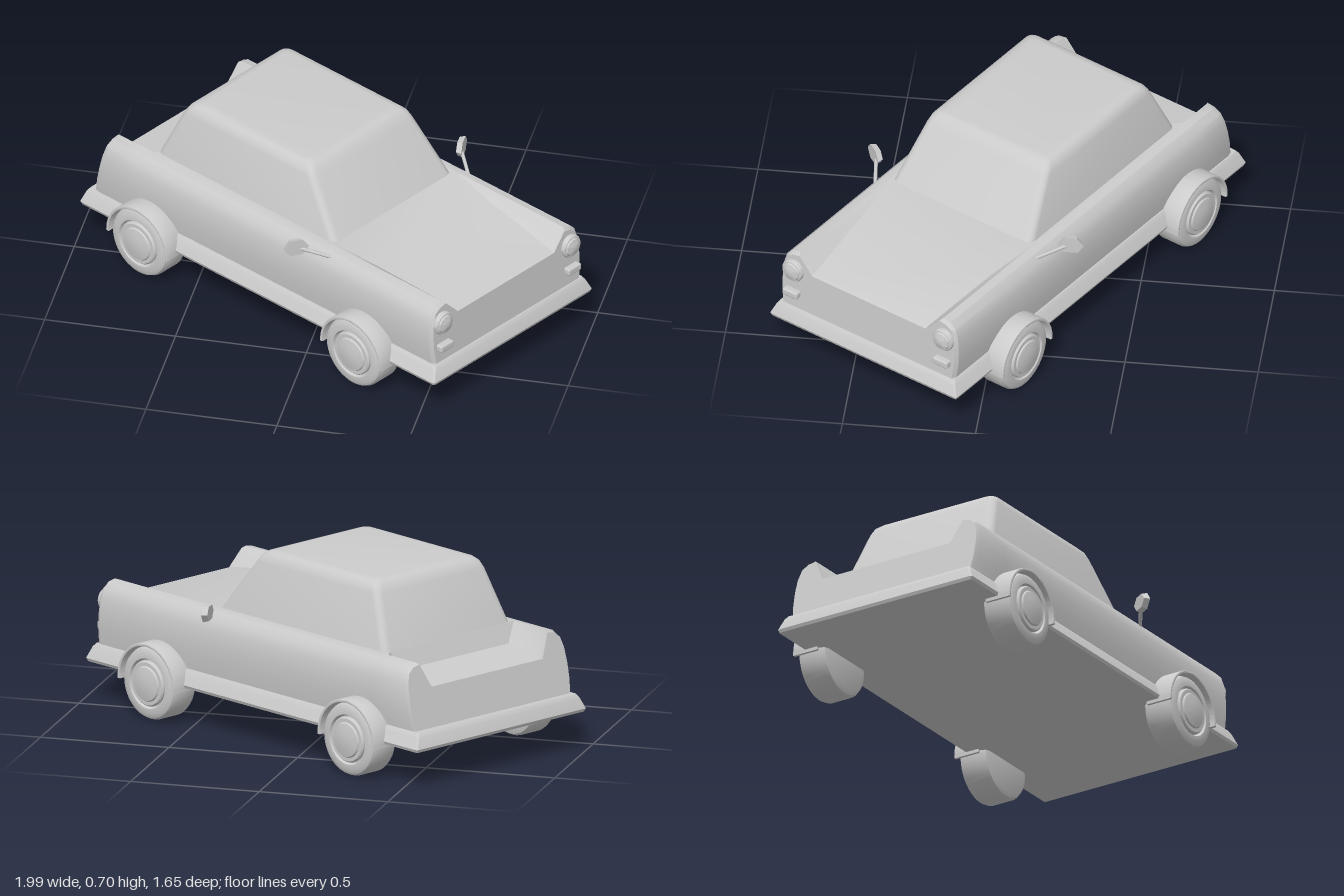
import * as THREE from 'three';
import { toCreasedNormals } from 'three/addons/utils/BufferGeometryUtils.js';
import { RoundedBoxGeometry } from 'three/addons/geometries/RoundedBoxGeometry.js';

const material = new THREE.MeshStandardMaterial({ color: 0xcccccc });
const twoSided = new THREE.MeshStandardMaterial({ color: 0xcccccc, side: THREE.DoubleSide });

function part(name, geometry, mat = material) {
  const mesh = new THREE.Mesh(geometry, mat);
  mesh.name = name;
  return mesh;
}

// Skin over rings of Vector3, closed at both ends; flat() gives a ring's 2D outline for the caps
function loft(rings, flat, crease) {
  const n = rings[0].length;
  const index = [];
  for (let i = 0; i < rings.length - 1; i++) {
    for (let k = 0; k < n; k++) {
      const a = i * n + k, b = i * n + (k + 1) % n;
      index.push(a, b, b + n, a, b + n, a + n);
    }
  }
  const last = (rings.length - 1) * n;
  for (const [a, b, c] of THREE.ShapeUtils.triangulateShape(rings[0].map(flat), [])) index.push(a, c, b);
  for (const [a, b, c] of THREE.ShapeUtils.triangulateShape(rings.at(-1).map(flat), [])) {
    index.push(last + a, last + b, last + c);
  }
  const geometry = new THREE.BufferGeometry().setFromPoints(rings.flat());
  geometry.setIndex(index);
  return toCreasedNormals(geometry, crease);
}

// Horizontal rounded rectangle
function rectRing(y, halfX, zBack, zFront, r) {
  const ring = [];
  const corners = [[halfX - r, zBack + r], [-halfX + r, zBack + r], [-halfX + r, zFront - r], [halfX - r, zFront - r]];
  corners.forEach(([x, z], c) => {
    for (let j = 0; j <= 4; j++) {
      const a = (c + j / 4) * Math.PI / 2;
      ring.push(new THREE.Vector3(x + r * Math.cos(a), y, z - r * Math.sin(a)));
    }
  });
  return ring;
}
const flatY = p => new THREE.Vector2(p.x, -p.z);
const flatZ = p => new THREE.Vector2(p.x, p.y);

// Body cross-section: rounded side and fender, falling to the hood or trunk lid at (xi, yi)
function bodyRing(z, xi, yi, lean = 0, inset = 0) {
  const half = [[0.4, 0.2], [0.409, 0.27], [0.41, 0.33], [0.405, 0.385], [0.392, 0.425], [0.367, 0.45], [0.335, 0.456]]
    .map(([x, y]) => [x - inset, y > 0.44 ? y - inset : y]);
  half.push([xi, yi]);
  const all = [...half, ...half.map(([x, y]) => [-x, y]).reverse()];
  return all.map(([x, y]) => new THREE.Vector3(x, y, z + lean * (y - 0.2)));
}

function createBody() {
  return part('body', loft([
    bodyRing(-0.855, 0.285, 0.36, 0.22, 0.006),
    bodyRing(-0.835, 0.285, 0.363, 0.2),
    bodyRing(-0.64, 0.28, 0.385),
    bodyRing(-0.61, 0.3, 0.455),
    bodyRing(0.3, 0.325, 0.454),
    bodyRing(0.5, 0.3, 0.432),
    bodyRing(0.855, 0.265, 0.387, -0.04),
    bodyRing(0.872, 0.265, 0.382, -0.06, 0.01),
  ], flatZ, 0.5));
}

function createCabin() {
  return part('cabin', loft([
    rectRing(0.44, 0.327, -0.615, 0.3, 0.03),
    rectRing(0.655, 0.283, -0.522, 0.145, 0.03),
    rectRing(0.68, 0.274, -0.507, 0.127, 0.03),
    rectRing(0.695, 0.258, -0.488, 0.108, 0.03),
    rectRing(0.7, 0.235, -0.465, 0.085, 0.03),
  ], flatY, 0.6));
}

function createSkirt() {
  return part('bumperSkirt', loft([
    rectRing(0.145, 0.43, -0.895, 0.895, 0.008),
    rectRing(0.157, 0.435, -0.9, 0.9, 0.008),
    rectRing(0.2, 0.416, -0.885, 0.885, 0.008),
    rectRing(0.213, 0.407, -0.876, 0.876, 0.008),
  ], flatY, 0.3));
}

// Turned part whose axis points to +x
function turned(name, profile, segments = 40, mat = material) {
  const geometry = new THREE.LatheGeometry(profile.map(p => new THREE.Vector2(...p)), segments);
  const mesh = part(name, toCreasedNormals(geometry, 0.6), mat);
  mesh.rotation.z = -Math.PI / 2;
  return mesh;
}

function createWheel() {
  const wheel = new THREE.Group();
  wheel.name = 'wheel';
  wheel.add(turned('tyre', [
    [0, 0.35], [0.115, 0.35], [0.132, 0.356], [0.14, 0.37], [0.14, 0.455],
    [0.133, 0.469], [0.118, 0.477], [0.096, 0.477], [0.09, 0.465], [0, 0.465],
  ]));
  wheel.add(turned('hubcap', [
    [0.087, 0.462], [0.087, 0.474], [0.082, 0.48], [0.068, 0.48], [0.064, 0.486], [0.035, 0.492], [0, 0.494],
  ]));
  return wheel;
}

// Half-ring flare over a wheel
function createArch() {
  const shape = new THREE.Shape();
  shape.absarc(0, 0, 0.155, -0.05, Math.PI + 0.05, false);
  shape.absarc(0, 0, 0.143, Math.PI + 0.05, -0.05, true);
  const geometry = new THREE.ExtrudeGeometry(shape, {
    depth: 0.1, curveSegments: 32, bevelThickness: 0.005, bevelSize: 0.004, bevelOffset: -0.004, bevelSegments: 2,
  });
  const arch = part('wheelArch', toCreasedNormals(geometry, 0.5));
  arch.rotation.y = Math.PI / 2;
  arch.position.x = 0.38;
  return arch;
}

function createHeadlight() {
  const lamp = turned('headlight', [
    [0.046, -0.04], [0.046, 0.006], [0.042, 0.012], [0.037, 0.012], [0.034, 0.018], [0.02, 0.025], [0, 0.028],
  ], 28);
  lamp.rotation.set(Math.PI / 2, 0, 0);
  return lamp;
}

function createMirror(side) {
  const mirror = new THREE.Group();
  mirror.name = 'sideMirror';
  const path = new THREE.LineCurve3(new THREE.Vector3(0.375, 0.435, 0.325), new THREE.Vector3(0.452, 0.468, 0.215));
  mirror.add(part('mirrorStalk', new THREE.TubeGeometry(path, 1, 0.007, 8)));
  // Six-sided plate, turned outward
  const plate = new THREE.CylinderGeometry(0.05, 0.042, 0.022, 6);
  plate.rotateY(Math.PI / 2).rotateX(Math.PI / 2).scale(1, 0.75, 1);
  const head = part('mirrorHead', toCreasedNormals(plate, 0.3));
  head.position.set(0.455, 0.472, 0.215);
  head.rotation.y = Math.PI / 6;
  mirror.add(head);
  if (side < 0) mirror.scale.x = -1;
  return mirror;
}

export function createModel() {
  const car = new THREE.Group();
  car.name = 'car';
  car.add(createBody(), createCabin(), createSkirt());

  for (const side of [1, -1]) {
    // Wheels and arches; the right side is the left turned half round
    for (const z of [0.52, -0.565]) {
      const corner = new THREE.Group();
      corner.name = 'wheelCorner';
      corner.add(createWheel(), createArch());
      corner.position.set(0, 0.14, z);
      corner.rotation.y = side > 0 ? 0 : Math.PI;
      car.add(corner);
    }
    // Lamps
    const headlight = createHeadlight();
    headlight.position.set(side * 0.35, 0.375, 0.866);
    const indicator = part('indicator', new RoundedBoxGeometry(0.07, 0.03, 0.04, 2, 0.008));
    indicator.position.set(side * 0.35, 0.277, 0.872);
    car.add(headlight, indicator, createMirror(side));
  }

  // The car stands turned on the ground
  car.rotation.y = Math.PI / 3;
  const model = new THREE.Group();
  model.name = 'model';
  model.add(car);
  return model;
}
